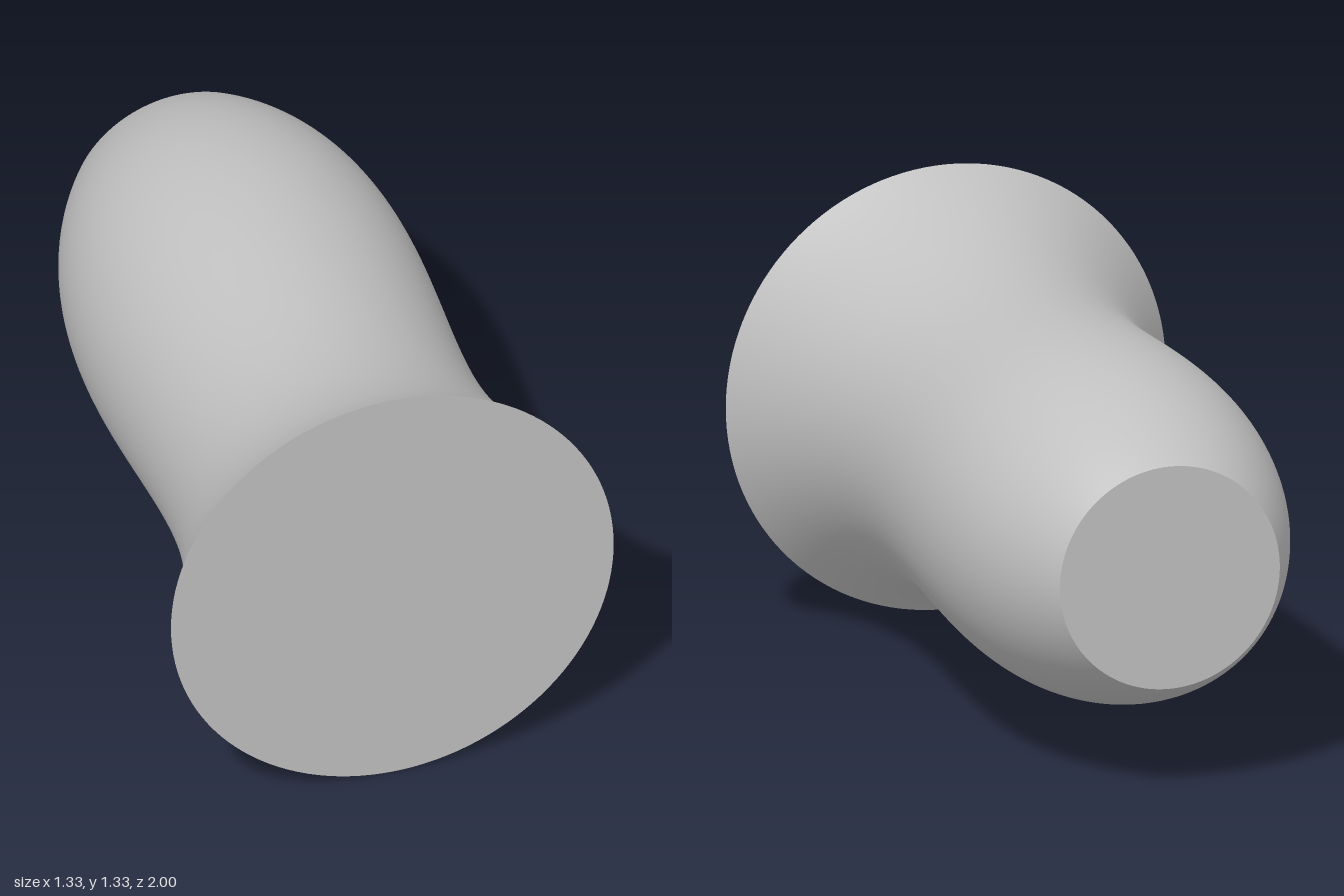
import * as THREE from 'three';

export function createModel() {
  const group = new THREE.Group();
  const grey = new THREE.MeshStandardMaterial({ color: 0xc0c0c0 });
  grey.name = 'light grey';
  const midY = 2 / 3;

  // Radius along the length: flared front, gentle waist, tapered back
  const radius = (z) => 0.5 - 0.0613 * z + 0.228 * z ** 3;
  const profile = [];
  for (let i = 0; i <= 64; i++) {
    const z = -1 + i / 32;
    profile.push(new THREE.Vector2(radius(z), z));
  }

  // Smooth turned body, laid along z
  const body = new THREE.Mesh(new THREE.LatheGeometry(profile, 128), grey);
  body.name = 'body';
  body.rotation.x = Math.PI / 2;
  body.position.y = midY;
  group.add(body);

  // Flat end caps
  for (const [name, z] of [['frontCap', 1], ['backCap', -1]]) {
    const cap = new THREE.Mesh(new THREE.CircleGeometry(radius(z), 128), grey);
    cap.name = name;
    cap.position.set(0, midY, z);
    if (z < 0) cap.rotation.y = Math.PI;
    group.add(cap);
  }
  return group;
}
